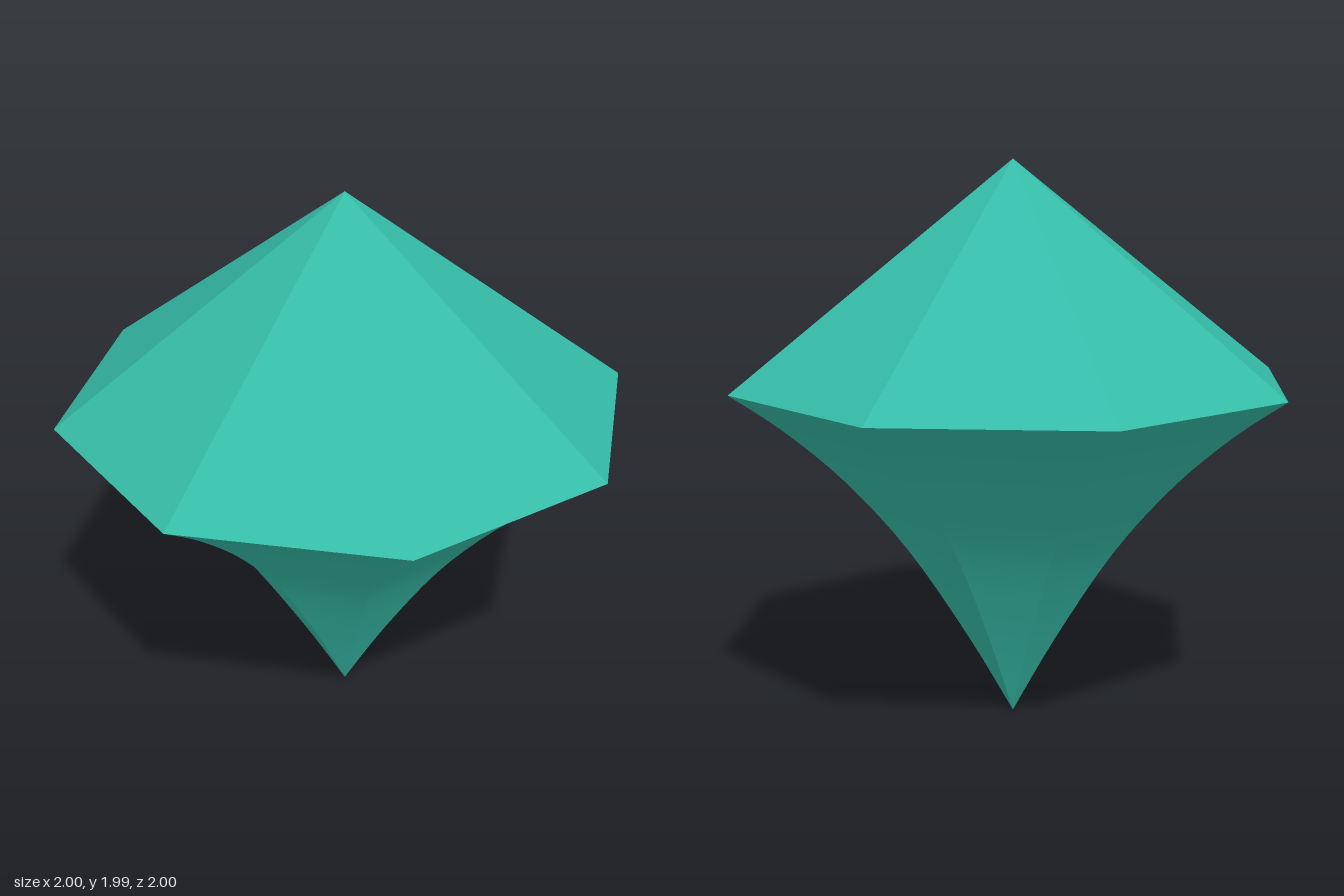
import * as THREE from 'three';
import { toCreasedNormals } from 'three/addons/utils/BufferGeometryUtils.js';

const SIDES = 8;
const GIRDLE = 1.22;

// Eight-sided lathe, smooth along each facet and sharp between facets
function facetedPart(name, profile, material) {
  const lathe = new THREE.LatheGeometry(profile, SIDES);
  const mesh = new THREE.Mesh(toCreasedNormals(lathe, 0.2), material);
  mesh.name = name;
  return mesh;
}

export function createModel() {
  const model = new THREE.Group();
  model.name = 'gem';
  const teal = new THREE.MeshStandardMaterial({ color: 0x35bba7 });
  teal.name = 'teal';

  // Lower half: hollow-curved facets sweeping from the tip out to the rim
  const curve = new THREE.SplineCurve([
    [0, 0], [0.17, 0.3], [0.39, 0.64], [0.61, 0.9], [0.82, 1.09], [1, GIRDLE],
  ].map(([r, y]) => new THREE.Vector2(r, y)));
  const lower = curve.getPoints(20);
  lower[0].set(0, 0);
  model.add(facetedPart('pavilion', lower, teal));

  // Upper half: straight pyramid facets
  const upper = [new THREE.Vector2(1, GIRDLE), new THREE.Vector2(0, 1.99)];
  model.add(facetedPart('crown', upper, teal));

  return model;
}
